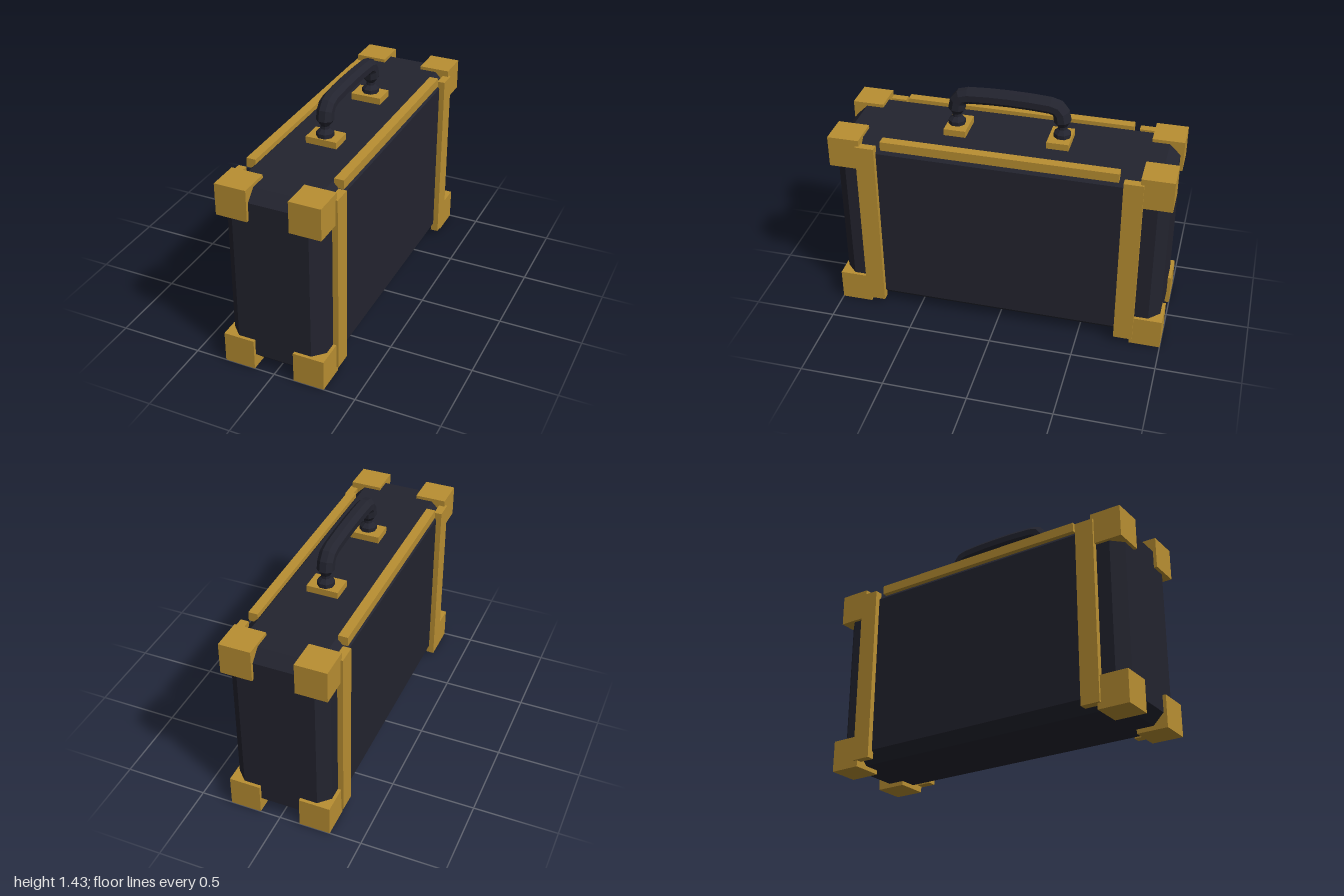
import * as THREE from 'three';
import { ConvexGeometry } from 'three/addons/geometries/ConvexGeometry.js';

const leather = new THREE.MeshStandardMaterial({ color: 0x23242f });
leather.name = 'dark leather';
const brass = new THREE.MeshStandardMaterial({ color: 0xb98f32 });
brass.name = 'brass';

// Box given by its minimum and maximum corners
function box(name, min, max, material) {
  const size = max.map((v, i) => v - min[i]);
  const mesh = new THREE.Mesh(new THREE.BoxGeometry(...size), material);
  mesh.position.set(...max.map((v, i) => (v + min[i]) / 2));
  mesh.name = name;
  return mesh;
}

// Box with all edges cut at 45 degrees
function chamferedBox(hx, hy, hz, c) {
  const points = [];
  for (const x of [-1, 1]) for (const y of [-1, 1]) for (const z of [-1, 1]) {
    points.push(new THREE.Vector3(x * hx, y * (hy - c), z * (hz - c)));
    points.push(new THREE.Vector3(x * (hx - c), y * hy, z * (hz - c)));
    points.push(new THREE.Vector3(x * (hx - c), y * (hy - c), z * hz));
  }
  return new ConvexGeometry(points);
}

// Octagonal section swept in the yz plane; each station is [z, y, radius]
function sweep(stations) {
  const sides = 8;
  const rings = stations.map(([z, y, r], i) => {
    const a = stations[Math.max(i - 1, 0)];
    const b = stations[Math.min(i + 1, stations.length - 1)];
    const len = Math.hypot(b[0] - a[0], b[1] - a[1]);
    const tz = (b[0] - a[0]) / len, ty = (b[1] - a[1]) / len;
    const R = r / Math.cos(Math.PI / sides);
    return Array.from({ length: sides }, (_, j) => {
      const t = ((j + 0.5) / sides) * Math.PI * 2;
      return [R * Math.cos(t), y + R * Math.sin(t) * tz, z - R * Math.sin(t) * ty];
    });
  });
  const pos = [];
  for (let i = 0; i < rings.length - 1; i++) {
    for (let j = 0; j < sides; j++) {
      const k = (j + 1) % sides;
      const [a, b, c, d] = [rings[i][j], rings[i][k], rings[i + 1][k], rings[i + 1][j]];
      pos.push(...a, ...b, ...d, ...b, ...c, ...d);
    }
  }
  const geo = new THREE.BufferGeometry();
  geo.setAttribute('position', new THREE.Float32BufferAttribute(pos, 3));
  geo.computeVertexNormals();
  return geo;
}

export function createModel() {
  const group = new THREE.Group();
  group.name = 'suitcase';

  // Case body
  const body = new THREE.Mesh(chamferedBox(0.29, 0.5625, 0.98, 0.064), leather);
  body.position.y = 0.5875;
  body.name = 'caseBody';
  group.add(body);

  // Brass fittings, mirrored left to right and front to back
  const mirrored = (name, min, max, sx, sz) => {
    const mesh = box(name, min, max, brass);
    mesh.position.x *= sx;
    mesh.position.z *= sz;
    group.add(mesh);
  };
  for (const sx of [-1, 1]) {
    for (const sz of [-1, 1]) {
      mirrored('lowerCorner', [0.123, 0, 0.813], [0.31, 0.19, 1], sx, sz);
      mirrored('upperCorner', [0.123, 0.98, 0.813], [0.31, 1.17, 1], sx, sz);
      mirrored('sideStrap', [0.275, 0.037, 0.72], [0.323, 1.133, 0.833], sx, sz);
    }
    mirrored('topRail', [0.235, 1.115, -0.69], [0.291, 1.17, 0.69], sx, 1);
  }
  for (const sz of [-1, 1]) {
    mirrored('handlePlate', [-0.094, 1.13, 0.238], [0.094, 1.19, 0.368], 1, sz);
  }

  // Handle: waisted feet flowing into a curved grip
  const half = [
    [-0.312, 1.18, 0.047], [-0.312, 1.215, 0.047], [-0.312, 1.238, 0.024],
    [-0.312, 1.255, 0.024], [-0.312, 1.288, 0.047], [-0.303, 1.338, 0.046],
    [-0.28, 1.367, 0.046], [-0.24, 1.379, 0.045], [-0.12, 1.386, 0.045],
  ];
  const path = [...half, [0, 1.388, 0.045],
    ...half.map(([z, y, r]) => [-z, y, r]).reverse()];
  const handle = new THREE.Mesh(sweep(path), leather);
  handle.name = 'handle';
  group.add(handle);

  return group;
}
